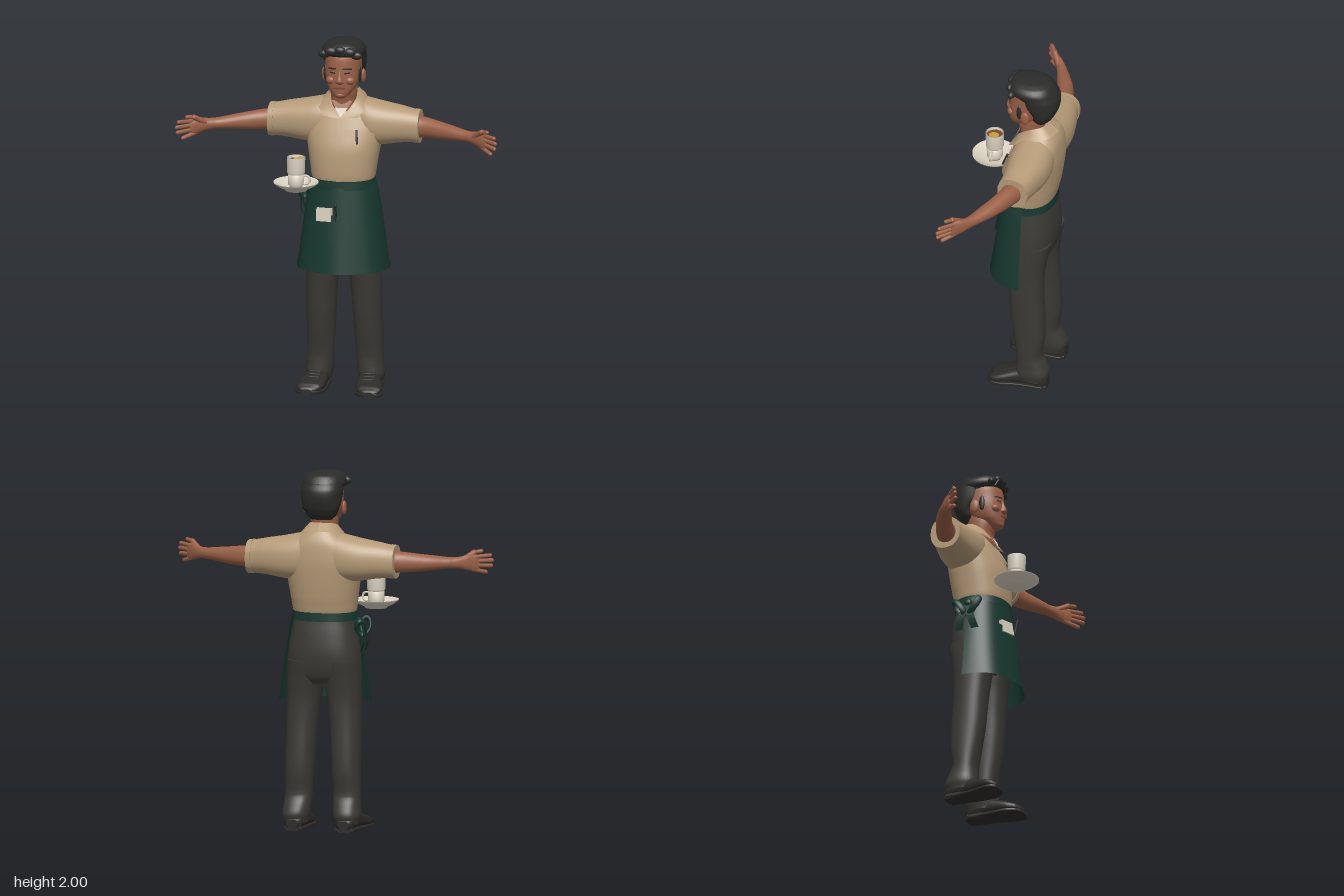
import * as THREE from 'three';

const paint = (name, color, side = THREE.FrontSide) => {
  const m = new THREE.MeshStandardMaterial({ color, side });
  m.name = name;
  return m;
};

// Smoothly subdivide cross-section rows [t, u0, u1, v0, v1]
function refine(rows, steps = 5) {
  const out = [], at = i => rows[Math.min(rows.length - 1, Math.max(0, i))];
  for (let i = 0; i < rows.length - 1; i++)
    for (let s = 0; s < steps; s++) {
      const f = s / steps;
      out.push(at(i).map((b, k) => {
        const a = at(i - 1)[k], c = at(i + 1)[k], d = at(i + 2)[k];
        if (k === 0) return b + (c - b) * f;
        return 0.5 * (2 * b + (c - a) * f + (2 * a - 5 * b + 4 * c - d) * f * f + (3 * b - a - 3 * c + d) * f ** 3);
      }));
    }
  out.push(rows[rows.length - 1]);
  return out;
}

// Superellipse loft along an axis; (u, v) are x,z for 'y', z,y for 'x', y,x for 'z'
function loft(rows, axis = 'y', e = 2.2, n = 36) {
  const place = { y: (t, u, v) => [u, t, v], x: (t, u, v) => [t, v, u], z: (t, u, v) => [v, u, t] }[axis];
  const pos = [], idx = [], fine = refine(rows);
  const ring = ([t, u0, u1, v0, v1]) => {
    for (let j = 0; j < n; j++) {
      const a = j / n * Math.PI * 2, c = Math.cos(a), s = Math.sin(a);
      const pu = Math.sign(c) * Math.abs(c) ** (2 / e), pv = Math.sign(s) * Math.abs(s) ** (2 / e);
      pos.push(...place(t, (u0 + u1) / 2 + pu * (u1 - u0) / 2, (v0 + v1) / 2 + pv * (v1 - v0) / 2));
    }
  };
  fine.forEach(ring);
  for (let i = 0; i < fine.length - 1; i++)
    for (let j = 0; j < n; j++) {
      const a = i * n + j, b = i * n + (j + 1) % n;
      idx.push(a, a + n, b, b, a + n, b + n);
    }
  [fine[0], fine[fine.length - 1]].forEach((r, end) => {
    const base = pos.length / 3;
    ring(r);
    pos.push(...place(r[0], (r[1] + r[2]) / 2, (r[3] + r[4]) / 2));
    for (let j = 0; j < n; j++) {
      const a = base + j, b = base + (j + 1) % n;
      idx.push(base + n, ...(end ? [b, a] : [a, b]));
    }
  });
  return build(pos, idx);
}

function build(pos, idx) {
  const g = new THREE.BufferGeometry();
  g.setAttribute('position', new THREE.Float32BufferAttribute(pos, 3));
  g.setIndex(idx);
  g.computeVertexNormals();
  return g;
}

// Flat grid whose vertices are moved by a rule of (u, v) in 0..1
function sheet(rule, nu = 12, nv = 8) {
  const g = new THREE.PlaneGeometry(1, 1, nu, nv), p = g.attributes.position;
  for (let i = 0; i < p.count; i++) p.setXYZ(i, ...rule(p.getX(i) + 0.5, p.getY(i) + 0.5));
  g.computeVertexNormals();
  return g;
}

// Thin patch lying on the front of a vertical loft
function drape(rows, e, x0, x1, y0, y1, off, tilt = 0) {
  const fine = refine(rows);
  return sheet((u, v) => {
    const x = x0 + (x1 - x0) * u, y = y0 + (y1 - y0) * v + tilt * (u - 0.5);
    let i = 0;
    while (i < fine.length - 2 && fine[i + 1][0] < y) i++;
    const f = (y - fine[i][0]) / (fine[i + 1][0] - fine[i][0]);
    const r = fine[i].map((a, k) => a + (fine[i + 1][k] - a) * f);
    const q = Math.min(1, Math.abs(x) / r[2]);
    return [x, y, (r[3] + r[4]) / 2 + (r[4] - r[3]) / 2 * (1 - q ** e) ** (1 / e) + off];
  });
}

function mirror(geo) {
  const g = geo.clone().scale(-1, 1, 1), a = g.index.array;
  for (let i = 0; i < a.length; i += 3) [a[i], a[i + 1]] = [a[i + 1], a[i]];
  return g;
}

function rod(a, b, r) {
  const A = new THREE.Vector3(...a), d = new THREE.Vector3(...b).sub(A), l = d.length();
  const q = new THREE.Quaternion().setFromUnitVectors(new THREE.Vector3(0, 1, 0), d.clone().normalize());
  return new THREE.CapsuleGeometry(r, l, 5, 10).applyQuaternion(q).translate(...A.addScaledVector(d, 0.5).toArray());
}

const ball = (x, y, z, sx, sy, sz) => new THREE.SphereGeometry(1, 20, 14).scale(sx, sy, sz).translate(x, y, z);
const sym = rows => rows.map(([y, w, z0, z1]) => [y, -w, w, z0, z1]);

export function createModel() {
  const model = new THREE.Group(), D = THREE.DoubleSide;
  const skin = paint('skin', 0x9a6046), hair = paint('black hair', 0x2b2c29, D), shirt = paint('tan cloth', 0xb59a77, D);
  const green = paint('green cloth', 0x17382f, D), grey = paint('trouser grey', 0x3a3934), leather = paint('shoe leather', 0x2d2b28);
  const white = paint('ceramic white', 0xd9d1c0, D), lemon = paint('lemon yellow', 0xc9a83c), tea = paint('tea brown', 0x7d4632, D);
  const add = (name, geo, mat) => {
    const m = new THREE.Mesh(geo, mat);
    m.name = name;
    model.add(m);
  };
  const pair = (name, geo, mat) => {
    add(name + 'Left', geo, mat);
    add(name + 'Right', mirror(geo), mat);
  };

  // Shirt: body, shoulders with sleeves, placket and pocket
  const torso = sym([[1.19, .168, -.25, .02], [1.23, .178, -.262, .03], [1.3, .188, -.278, .03], [1.4, .203, -.292, .02],
    [1.5, .215, -.3, -.015], [1.58, .19, -.296, -.05], [1.63, .14, -.285, -.085], [1.69, .08, -.255, -.11]]);
  add('shirtBody', loft(torso, 'y', 2.3), shirt);
  const sleeve = [[.07, -.286, -.065, 1.4, 1.668], [.14, -.292, -.05, 1.395, 1.652], [.22, -.288, -.055, 1.4, 1.635],
    [.32, -.268, -.07, 1.415, 1.618], [.4, -.248, -.078, 1.42, 1.603], [.42, -.245, -.08, 1.42, 1.6]];
  add('shoulders', loft([...sleeve.map(r => [-r[0], ...r.slice(1)]).reverse(), ...sleeve], 'x', 2.3), shirt);
  pair('sleeveHem', loft([[.395, -.254, -.074, 1.417, 1.606], [.424, -.25, -.076, 1.417, 1.603]], 'x', 2.3), shirt);
  add('shirtPlacket', drape(torso, 2.3, -.014, .014, 1.22, 1.56, .005), shirt);
  add('shirtPocket', drape(torso, 2.3, .1, .187, 1.4, 1.487, .012), shirt);
  add('shirtPen', rod([.1, 1.44, .012], [.093, 1.505, -.012], .006), hair);

  // Collar with open V, undershirt and neck
  const curve = pts => new THREE.CatmullRomCurve3(pts.map(p => new THREE.Vector3(...p)));
  const top = curve([[0, 1.72, -.225], [.058, 1.717, -.2], [.082, 1.7, -.14], [.066, 1.652, -.075], [.004, 1.566, -.022]]);
  const low = curve([[0, 1.675, -.283], [.085, 1.672, -.25], [.128, 1.648, -.16], [.13, 1.615, -.075], [.1, 1.578, -.022]]);
  pair('collar', sheet((u, v) => low.getPoint(u).lerp(top.getPoint(u), v).toArray(), 24, 4), shirt);
  const vee = (w, y0, y1, z0, z1) => build([0, y0, z0, w, y1, z1, -w, y1, z1], [0, 1, 2]);
  add('openNeckSkin', vee(.06, 1.568, 1.66, -.03, -.068), skin);
  add('undershirt', vee(.036, 1.57, 1.622, -.025, -.046), white);
  add('neck', loft(sym([[1.56, .068, -.22, -.06], [1.65, .07, -.2, -.06], [1.72, .074, -.2, -.045], [1.79, .07, -.22, -.06]])), skin);

  // Head and face
  const head = sym([[1.685, .022, -.06, -.016], [1.7, .046, -.1, 0], [1.74, .078, -.17, .004], [1.8, .097, -.22, .004],
    [1.86, .101, -.25, .001], [1.92, .1, -.25, -.008], [1.97, .07, -.21, -.04]]);
  add('head', loft(head), skin);
  add('nose', loft(sym([[1.768, .012, -.03, .008], [1.778, .026, -.03, .02], [1.79, .022, -.03, .025], [1.82, .012, -.03, .014], [1.85, .009, -.03, .004]])), skin);
  pair('ear', ball(.106, 1.795, -.125, .013, .04, .026).rotateY(-.04), skin);
  pair('eyebrow', drape(head, 2.2, .018, .066, 1.852, 1.861, .004, -.004), hair);
  pair('eye', drape(head, 2.2, .026, .056, 1.829, 1.837, .003), hair);
  pair('cheek', ball(.05, 1.787, -.022, .03, .024, .024), skin);
  add('lips', drape(head, 2.2, -.031, .031, 1.742, 1.753, .005), tea);
  add('chin', ball(0, 1.706, -.012, .026, .016, .017), skin);

  // Hair: crown, back and sideburns, swept fringe
  add('hairCrown', loft(sym([[1.905, .108, -.272, -.03], [1.93, .119, -.268, .002], [1.955, .117, -.255, .006],
    [1.98, .098, -.235, -.006], [1.994, .065, -.2, -.03], [2, .025, -.15, -.07]])), hair);
  add('hairBack', loft(sym([[1.735, .06, -.222, -.15], [1.76, .085, -.245, -.135], [1.8, .103, -.267, -.13],
    [1.85, .112, -.282, -.085], [1.9, .116, -.282, -.065], [1.94, .115, -.265, -.05]])), hair);
  pair('sideburn', ball(.096, 1.815, -.083, .01, .045, .016), hair);
  [[-.09, 1.935, -.022, .032], [-.05, 1.955, -.004, .034], [0, 1.962, -.005, .03], [.05, 1.95, -.015, .034], [.088, 1.928, -.035, .03]]
    .forEach(([x, y, z, r]) => add('fringe', ball(x, y, z, r * 1.1, r * .75, r * .7), hair));
  add('looseLock', rod([-.072, 1.945, .006], [-.088, 1.91, -.008], .008), hair);

  // Arms, palms and fingers
  pair('arm', loft([[.37, -.225, -.1, 1.445, 1.572], [.45, -.205, -.098, 1.45, 1.566], [.55, -.165, -.067, 1.455, 1.552],
    [.62, -.132, -.038, 1.462, 1.542], [.7, -.085, -.01, 1.468, 1.531], [.745, -.052, .012, 1.465, 1.532],
    [.79, -.015, .038, 1.452, 1.542], [.825, .02, .056, 1.447, 1.537], [.838, .036, .056, 1.455, 1.53]], 'x', 2.1, 28), skin);
  [[1.526, .888, 1.53, .092], [1.503, .896, 1.502, .1], [1.48, .892, 1.472, .1], [1.458, .866, 1.438, .082]].forEach(([y, x, y1, z]) => {
    pair('finger', rod([.805, y, .024], [x, y1, z], .0115), skin);
  });
  pair('thumb', rod([.76, 1.515, .005], [.81, 1.55, .045], .015), skin);
  pair('thumbTip', rod([.81, 1.55, .045], [.845, 1.556, .07], .011), skin);

  // Trousers and shoes
  add('hips', loft(sym([[.81, .17, -.22, -.05], [.86, .203, -.252, -.005], [.92, .206, -.268, .01], [1, .2, -.274, .018],
    [1.1, .185, -.265, .02], [1.2, .168, -.25, .01]]), 'y', 2.4), grey);
  pair('trouserLeg', loft([[.045, .08, .213, -.262, -.1], [.09, .07, .222, -.275, -.088], [.14, .066, .217, -.258, -.09], [.2, .062, .214, -.232, -.09],
    [.32, .056, .213, -.245, -.07], [.45, .048, .212, -.243, -.052], [.6, .038, .21, -.235, -.04], [.74, .022, .208, -.235, -.025],
    [.86, .002, .207, -.252, -.005], [.95, 0, .203, -.268, .008]], 'y', 2.3), grey);
  const shoe = [[-.27, .02, .065, .115, .18], [-.25, .008, .1, .095, .198], [-.17, .01, .112, .09, .205], [-.1, .01, .1, .085, .215],
    [-.02, .008, .075, .084, .236], [.03, .008, .058, .1, .238], [.055, .01, .04, .128, .22], [.063, .015, .03, .15, .2]];
  pair('shoe', loft(shoe, 'z', 2.6), leather);
  pair('sole', loft(shoe.map(([z, , , a, b]) => [z, 0, .022, a - .004, b + .004]), 'z', 5), leather);
  pair('heel', new THREE.BoxGeometry(.1, .028, .09).translate(.147, .014, -.212), leather);
  for (const z of [-.085, -.06, -.035]) pair('shoelace', rod([.125, .088 + (-z - .06) * .4, z], [.18, .088 + (-z - .06) * .4, z], .005), leather);

  // Apron wrapping the front, with waistband and pocket
  const apronAt = (a, y, off = 0) => {
    const t = (1.215 - y) / .505, ripple = 1 + .012 * t * Math.cos(7 * a);
    const w = (.177 + .08 * t ** .75 + off) * ripple, d = (.155 + .066 * t + off) * ripple;
    const bend = Math.sign(Math.cos(a)) * Math.abs(Math.cos(a)) ** .9;
    return [w * Math.sin(a), y, -.12 + d * bend];
  };
  const wrap = (a0, a1, y0, y1, off) => sheet((u, v) => apronAt(a0 + (a1 - a0) * u, y0 + (y1 - y0) * v, off), 48, 16);
  add('apron', wrap(-1.62, 1.62, .71, 1.215, 0), green);
  add('apronHem', wrap(-1.62, 1.62, .708, .735, .004), green);
  add('apronWaistband', loft(sym([[1.172, .183, -.263, .04], [1.22, .179, -.262, .037]]), 'y', 2.2), green);
  add('apronPocket', wrap(-.7, .07, .88, 1.035, .014), green);
  add('apronPocketHem', wrap(-.71, .08, 1.015, 1.037, .018), green);
  add('orderPad', new THREE.BoxGeometry(.09, .075, .022).rotateX(-.15).rotateZ(.06).rotateY(-.3).translate(-.075, 1.035, .056), white);
  add('apronPen', rod([-.008, 1.0, .07], [-.005, 1.1, .092], .007), hair);

  // Tied bow at the right hip
  add('bowKnot', ball(-.2, 1.165, -.12, .02, .024, .024), green);
  for (const [z, tilt] of [[-.075, .6], [-.165, -.6]]) {
    add('bowLoop', new THREE.TorusGeometry(.034, .009, 8, 20).scale(.8, 1.5, 2).rotateY(.5).rotateX(tilt).translate(-.218, 1.135, z), green);
    const swing = Math.sign(tilt) * .03;
    add('bowTail', sheet((u, v) => [-.205 - .03 * Math.sin((1 - v) * 2.6), 1.0 + .165 * v, -.12 + swing * (1 - v) * 1.6 + (u - .5) * .045], 3, 10), green);
  }

  // Saucer, stacked cups, drink and lemon
  const turn = pts => new THREE.LatheGeometry(pts.map(p => new THREE.Vector2(...p)), 40).translate(-.21, 0, .175);
  add('saucer', turn([[0, 1.2], [.06, 1.2], [.065, 1.208], [.1, 1.225], [.125, 1.244], [.125, 1.249], [.1, 1.233], [.06, 1.216], [0, 1.213]]), white);
  add('lowerCup', turn([[0, 1.213], [.032, 1.213], [.034, 1.222], [.044, 1.235], [.046, 1.3], [0, 1.3]]), white);
  add('upperCup', turn([[0, 1.285], [.042, 1.285], [.05, 1.305], [.051, 1.39], [.046, 1.39], [.045, 1.335], [0, 1.335]]), white);
  add('cupHandle', new THREE.TorusGeometry(.024, .006, 8, 20).translate(-.156, 1.262, .175), white);
  add('drink', new THREE.CylinderGeometry(.0455, .0455, .006, 32).translate(-.21, 1.372, .175), tea);
  add('lemonSlice', new THREE.CylinderGeometry(.028, .028, .008, 24).rotateZ(.15).translate(-.196, 1.38, .175), lemon);
  return model;
}
